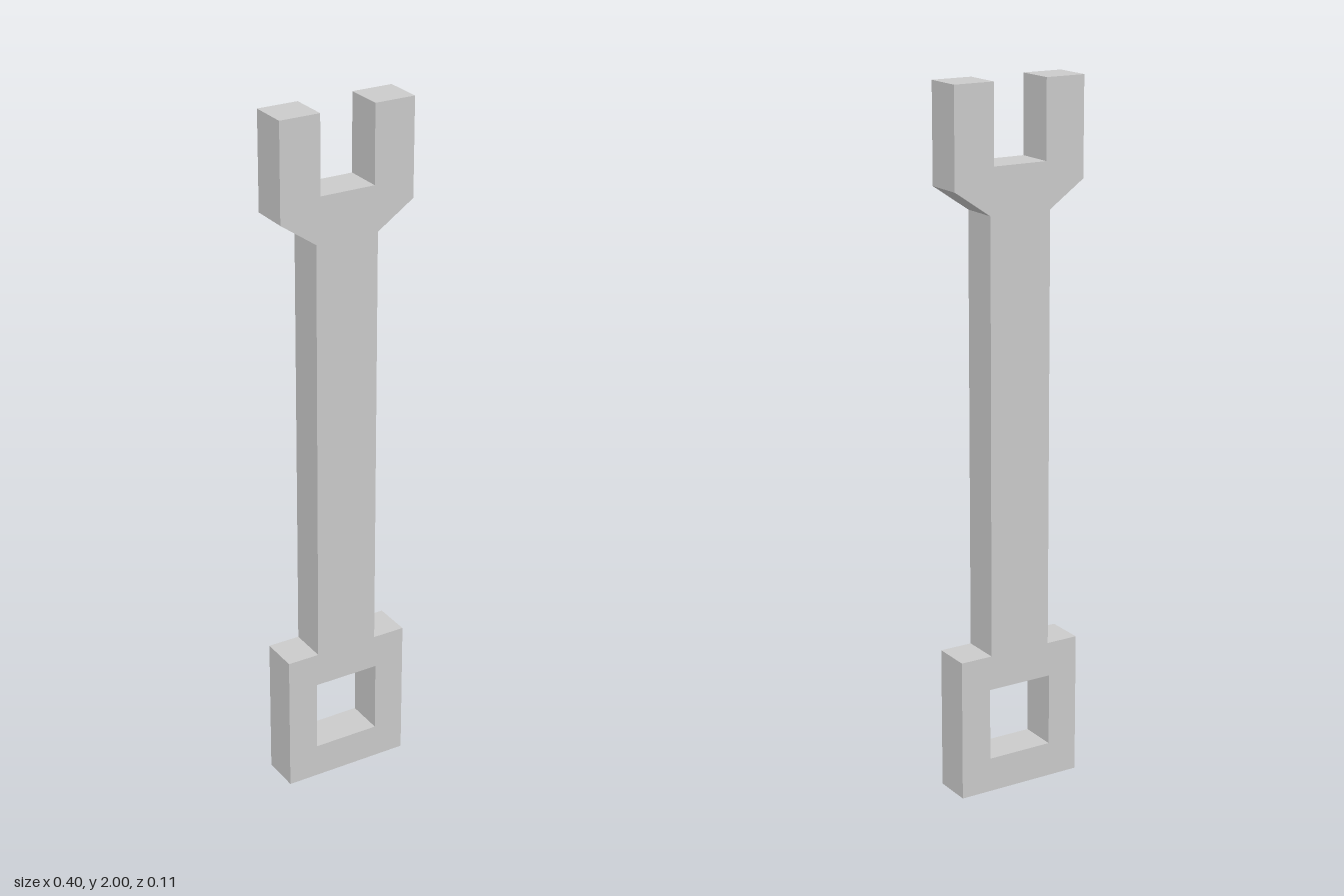
import * as THREE from 'three';

const THICKNESS = 0.113;

// Closed polygon from [x, y] corners
const points = (corners) => corners.map(([x, y]) => new THREE.Vector2(x, y));

export function createModel() {
  const group = new THREE.Group();
  group.name = 'wrench';

  // Outline, counter-clockwise from the lower left corner
  const outline = new THREE.Shape(points([
    // closed end, right side
    [-0.19, 0], [0.187, 0], [0.187, 0.41], [0.091, 0.41],
    // handle and right prong
    [0.091, 1.65], [0.199, 1.723], [0.199, 2], [0.08, 2],
    // slot and left prong
    [0.08, 1.78], [-0.082, 1.78], [-0.082, 2], [-0.2, 2],
    // handle and closed end, left side
    [-0.2, 1.723], [-0.095, 1.65], [-0.095, 0.41], [-0.19, 0.41],
  ]));

  // Square socket hole in the closed end
  outline.holes.push(new THREE.Path(points([
    [-0.1, 0.1], [-0.1, 0.31], [0.096, 0.31], [0.096, 0.1],
  ])));

  const geometry = new THREE.ExtrudeGeometry(outline, { depth: THICKNESS, bevelEnabled: false });
  geometry.translate(0, 0, -THICKNESS / 2);

  const material = new THREE.MeshStandardMaterial({ color: 0xcccccc, flatShading: true });
  const body = new THREE.Mesh(geometry, material);
  body.name = 'wrenchBody';
  group.add(body);

  return group;
}
